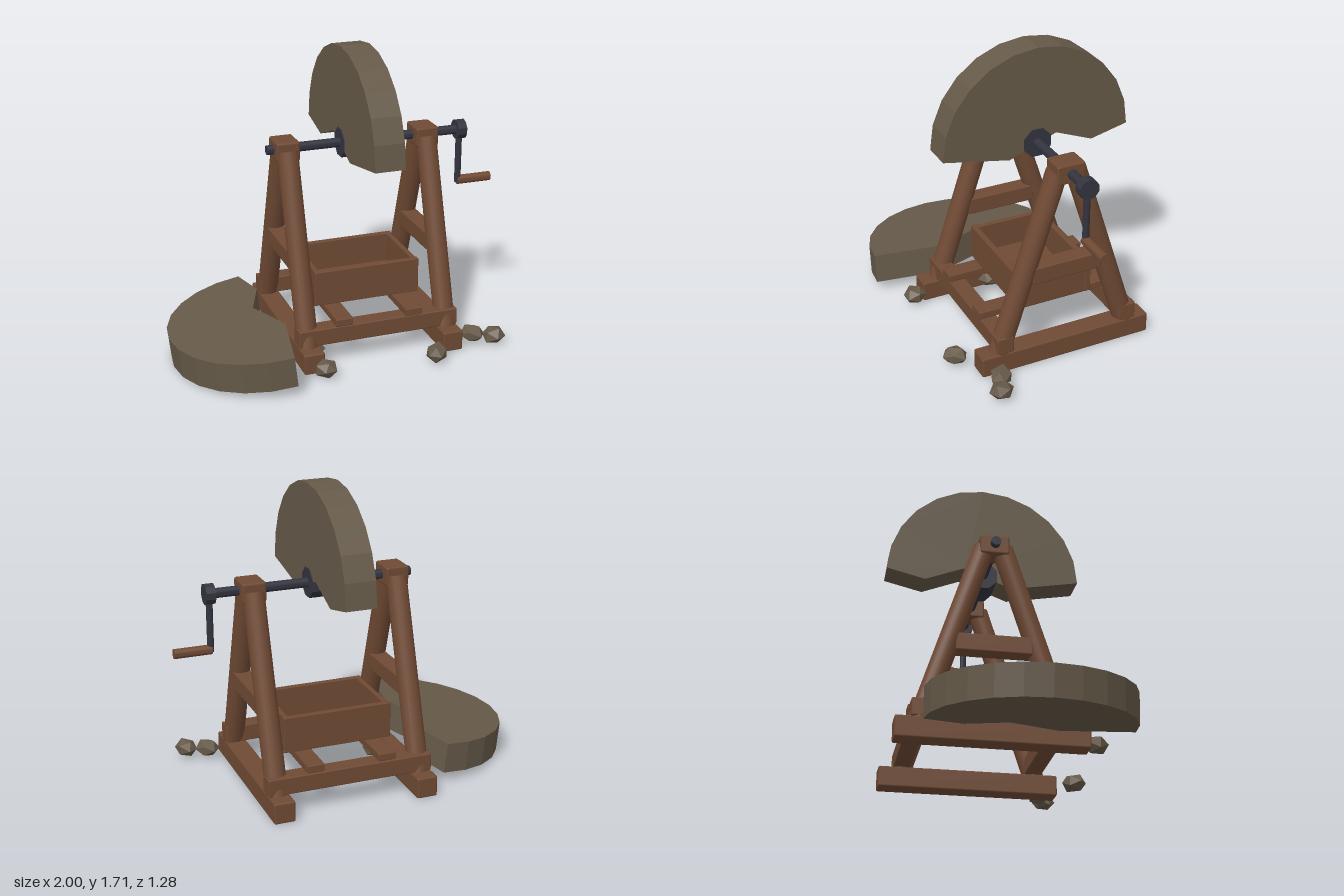
import * as THREE from 'three';
import { RoundedBoxGeometry } from 'three/addons/geometries/RoundedBoxGeometry.js';
import { toCreasedNormals } from 'three/addons/utils/BufferGeometryUtils.js';

const CZ = -0.085;   // middle of the frame in z
const AXLE_Y = 1.15;
const SIDES = [['right', -0.265], ['left', 0.565]];

export function createModel() {
  const root = new THREE.Group();
  root.name = 'brokenGrindstone';

  const wood = new THREE.MeshStandardMaterial({ color: 0x704a34 });
  wood.name = 'wood';
  const stone = new THREE.MeshStandardMaterial({ color: 0x665a49 });
  stone.name = 'stone';
  const iron = new THREE.MeshStandardMaterial({ color: 0x33343f });
  iron.name = 'darkIron';

  function add(name, geometry, material, x = 0, y = 0, z = 0) {
    const mesh = new THREE.Mesh(geometry, material);
    mesh.name = name;
    mesh.position.set(x, y, z);
    root.add(mesh);
    return mesh;
  }

  // Slightly bevelled timber given by its limits on each axis
  function timber(name, [x0, x1], [y0, y1], [z0, z1], bevel = 0.008) {
    const g = new RoundedBoxGeometry(x1 - x0, y1 - y0, z1 - z0, 1, bevel);
    return add(name, g, wood, (x0 + x1) / 2, (y0 + y1) / 2, (z0 + z1) / 2);
  }

  // Round bar between two points
  function bar(name, from, to, radius, sides, material, crease = 0.9) {
    const a = new THREE.Vector3(...from), b = new THREE.Vector3(...to);
    const dir = b.clone().sub(a);
    const g = new THREE.CylinderGeometry(radius, radius, dir.length(), sides, 1, false, Math.PI / sides);
    const mesh = add(name, toCreasedNormals(g, crease), material);
    mesh.position.copy(a).add(b).multiplyScalar(0.5);
    mesh.quaternion.setFromUnitVectors(new THREE.Vector3(0, 1, 0), dir.normalize());
    return mesh;
  }

  // Two A-shaped side frames
  for (const [side, x] of SIDES) {
    timber(side + 'BaseBeam', [x - 0.06, x + 0.06], [0, 0.12], [-0.605, 0.43], 0.01);
    timber(side + 'TieBar', [x - 0.05, x + 0.05], [0.51, 0.61], [CZ - 0.208, CZ + 0.208]);
    timber(side + 'BearingBlock', [x - 0.067, x + 0.067], [1.092, 1.205], [CZ - 0.082, CZ + 0.082], 0.012);
    for (const [end, s] of [['Front', 1], ['Back', -1]]) {
      bar(side + end + 'Leg', [x, 0.096, CZ + s * 0.393], [x, 1.146, CZ + s * 0.053], 0.06, 16, wood);
    }
  }

  // Cross beams, slats and the trough they carry
  timber('frontCrossBeam', [-0.325, 0.625], [0.12, 0.22], [0.24, 0.34]);
  timber('backCrossBeam', [-0.325, 0.625], [0.12, 0.22], [-0.52, -0.42]);
  for (const x of [-0.06, 0.355]) {
    timber('slat', [x - 0.05, x + 0.05], [0.22, 0.265], [-0.515, 0.345], 0.006);
  }
  timber('troughFloor', [-0.15, 0.45], [0.265, 0.295], [-0.3, 0.125], 0.004);
  timber('troughFront', [-0.165, 0.465], [0.265, 0.47], [0.103, 0.138], 0.005);
  timber('troughBack', [-0.165, 0.465], [0.265, 0.47], [-0.315, -0.28], 0.005);
  timber('troughRightSide', [-0.16, -0.13], [0.267, 0.467], [-0.285, 0.108], 0.004);
  timber('troughLeftSide', [0.43, 0.46], [0.267, 0.467], [-0.285, 0.108], 0.004);

  // Axle, hub and crank
  bar('axle', [-0.37, AXLE_Y, CZ], [0.8, AXLE_Y, CZ], 0.027, 12, iron);
  bar('hub', [0.058, AXLE_Y, CZ], [0.24, AXLE_Y, CZ], 0.087, 8, iron, 0.3);
  bar('crankBoss', [0.77, AXLE_Y, CZ], [0.822, AXLE_Y, CZ], 0.058, 10, iron, 0.3);
  bar('crankArm', [0.795, AXLE_Y, CZ], [0.795, 0.825, CZ], 0.019, 10, iron);
  bar('crankHandle', [0.79, 0.837, CZ], [1, 0.837, CZ], 0.027, 12, wood);

  // Half wheel: an arc of fifteen-degree steps closed by a jagged break
  const outline = [];
  for (let i = 0; i <= 12; i++) {
    const a = (i * Math.PI) / 12;
    outline.push(new THREE.Vector2(0.555 * Math.cos(a), 0.555 * Math.sin(a)));
  }
  for (const [x, y] of [[-0.335, -0.052], [-0.115, 0.035], [0.165, -0.072]]) {
    outline.push(new THREE.Vector2(x, y));
  }
  const halfWheel = new THREE.ExtrudeGeometry(new THREE.Shape(outline), { depth: 0.173, bevelEnabled: false });
  halfWheel.translate(0, 0, -0.0865).rotateY(-Math.PI / 2);
  add('mountedHalfWheel', halfWheel, stone, 0.148, AXLE_Y, CZ);
  add('fallenHalfWheel', halfWheel, stone, -0.438, 0.149, 0.083).rotation.z = Math.PI / 2 + 0.111;

  // Stone chips: dented icosahedra
  let seed = 7;
  const random = () => (seed = (seed * 16807) % 2147483647) / 2147483647;
  function chip(x, z, radius) {
    const g = new THREE.IcosahedronGeometry(radius, 0);
    const p = g.attributes.position, scales = new Map();
    for (let i = 0; i < p.count; i++) {
      const key = [p.getX(i), p.getY(i), p.getZ(i)].map((v) => Math.round(v * 1000)).join();
      if (!scales.has(key)) scales.set(key, 0.85 + 0.25 * random());
      const s = scales.get(key);
      p.setXYZ(i, p.getX(i) * s, p.getY(i) * s * 0.72, p.getZ(i) * s * 0.9);
    }
    g.rotateY(random() * 6);
    g.computeVertexNormals();
    add('stoneChip', g, stone, x, 0.055, z);
  }
  chip(-0.22, 0.48, 0.073);
  chip(0.432, 0.51, 0.075);
  chip(0.712, 0.36, 0.075);
  chip(0.822, 0.412, 0.075);
  chip(-0.21, 0.235, 0.07);
  chip(-0.2, 0.01, 0.07);

  return root;
}
